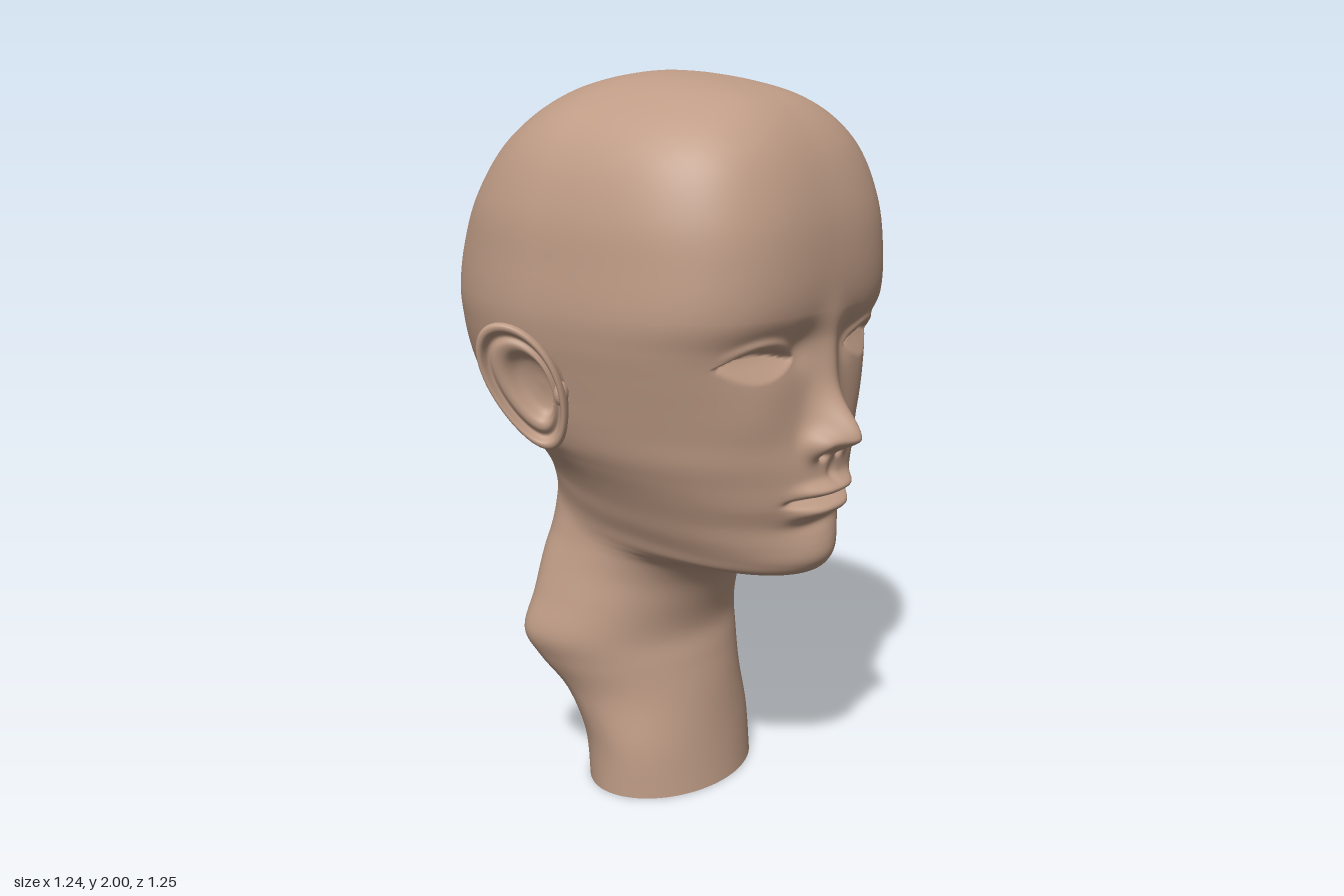
import * as THREE from 'three';

const skin = new THREE.MeshStandardMaterial({ color: 0xbf9c86, side: THREE.DoubleSide });

// Cross-sections: front y, front z, back y, back z, half width, z of widest point,
// squareness of the front half, squareness of the back half
const skull = [
  [2.0, 0, 2.0, 0, 0, 0, 2.2, 2],
  [1.994, 0.1, 1.994, -0.07, 0.08, 0, 2.2, 2],
  [1.975, 0.22, 1.975, -0.17, 0.17, -0.01, 2.4, 2],
  [1.94, 0.34, 1.94, -0.27, 0.26, -0.02, 2.6, 2],
  [1.88, 0.42, 1.88, -0.36, 0.36, -0.03, 2.8, 2],
  [1.79, 0.48, 1.79, -0.46, 0.43, -0.04, 3, 2],
  [1.66, 0.525, 1.66, -0.55, 0.475, -0.05, 3, 2],
  [1.53, 0.54, 1.53, -0.605, 0.49, -0.05, 3, 2],
];
const face = [
  [1.42, 0.535, 1.42, -0.625, 0.497, -0.05, 3, 2],
  [1.34, 0.515, 1.34, -0.62, 0.49, -0.05, 2.9, 2],
  [1.26, 0.505, 1.27, -0.61, 0.475, -0.05, 2.8, 2],
  [1.18, 0.505, 1.21, -0.59, 0.46, -0.04, 2.6, 2],
  [1.1, 0.51, 1.15, -0.55, 0.445, -0.03, 2.4, 2],
  [1.03, 0.515, 1.09, -0.48, 0.425, 0, 2.3, 2],
  [0.97, 0.515, 1.05, -0.42, 0.4, 0.03, 2.2, 2],
  [0.91, 0.515, 1.0, -0.37, 0.37, 0.05, 2.15, 2],
  [0.85, 0.505, 0.96, -0.335, 0.345, 0.05, 2.1, 2.1],
  [0.79, 0.51, 0.925, -0.315, 0.325, 0.03, 2.05, 2.2],
  [0.74, 0.51, 0.895, -0.305, 0.305, 0, 2, 2.3],
  [0.708, 0.485, 0.87, -0.3, 0.295, -0.02, 2, 2.4],
];
const neck = [
  [0.7, 0.42, 0.84, -0.295, 0.29, -0.05, 2, 2.5],
  [0.7, 0.33, 0.8, -0.29, 0.29, -0.08, 2, 2.6],
  [0.685, 0.25, 0.75, -0.29, 0.295, -0.1, 2, 2.8],
  [0.63, 0.19, 0.68, -0.29, 0.31, -0.13, 2, 3.2],
  [0.55, 0.155, 0.57, -0.295, 0.335, -0.15, 2, 3.5],
  [0.46, 0.135, 0.46, -0.31, 0.36, -0.18, 2, 3.5],
  [0.38, 0.15, 0.38, -0.29, 0.335, -0.15, 2, 3],
  [0.28, 0.17, 0.28, -0.24, 0.295, -0.08, 2, 2.5],
  [0.14, 0.19, 0.14, -0.22, 0.28, 0, 2, 2.1],
  [0, 0.21, 0, -0.2, 0.28, 0, 2, 2],
];

// Smooth in-between rows; stepsAt(i) is the count for each gap
function refine(rows, stepsAt) {
  const at = (i) => rows[Math.min(Math.max(i, 0), rows.length - 1)];
  const out = [];
  for (let i = 0; i < rows.length - 1; i++) {
    const n = stepsAt(i);
    for (let s = 0; s < n; s++) {
      const t = s / n;
      out.push(rows[i].map((b, k) => {
        const a = at(i - 1)[k], c = at(i + 1)[k], d = at(i + 2)[k];
        return b + 0.5 * t * (c - a + t * (2 * a - 5 * b + 4 * c - d + t * (3 * (b - c) + d - a)));
      }));
    }
  }
  out.push(rows[rows.length - 1]);
  return out;
}

// Skin closed rings of points into one smooth surface
function loft(rows, cols, point) {
  const pos = [], index = [];
  rows.forEach((row, i) => {
    for (let j = 0; j < cols; j++) {
      pos.push(...point(row, (j / cols) * Math.PI * 2));
      if (i === rows.length - 1) continue;
      const a = i * cols + j, b = i * cols + ((j + 1) % cols);
      index.push(a, b, a + cols, b, b + cols, a + cols);
    }
  });
  const geo = new THREE.BufferGeometry();
  geo.setAttribute('position', new THREE.Float32BufferAttribute(pos, 3));
  geo.setIndex(index);
  geo.computeVertexNormals();
  return geo;
}

const bell = (v, c, r) => Math.exp(-(((v - c) / r) ** 2));
const bump = (x, y, cx, cy, rx, ry) => bell(x, cx, rx) * bell(y, cy, ry);

// Forward relief of the facial features
function relief(x, y) {
  const ax = Math.abs(x);
  let d = 0;
  // nose bridge, tip, wings and nostrils
  d += 0.03 * bump(x, y, 0, 1.25, 0.05, 0.13);
  d += 0.1 * bump(x, y, 0, 1.09, 0.058, y > 1.09 ? 0.09 : 0.038);
  d += 0.035 * bump(ax, y, 0.072, 1.075, 0.03, 0.035);
  d -= 0.025 * bump(ax, y, 0.035, 1.04, 0.018, 0.012);
  // muzzle, lips, mouth line and chin
  const lip = Math.exp(-((x / 0.115) ** 4));
  d += 0.02 * bump(x, y, 0, 0.97, 0.16, 0.1);
  d -= 0.008 * bump(x, y, 0, 0.99, 0.018, 0.025);
  d += lip * (0.034 * bell(y, 0.95, 0.02) + 0.032 * bell(y, 0.893, 0.023));
  d -= 0.045 * bell(y, 0.923, 0.009) * Math.exp(-((x / 0.13) ** 6));
  d -= 0.01 * bump(x, y, 0, 0.85, 0.1, 0.02);
  d += 0.015 * bump(x, y, 0, 0.77, 0.12, 0.05);
  // sockets and cheeks
  d -= 0.02 * bump(ax, y, 0.22, 1.33, 0.13, 0.06);
  d -= 0.015 * bump(ax, y, 0.105, 1.33, 0.045, 0.055);
  d += 0.008 * bump(ax, y, 0.25, 1.15, 0.1, 0.09);
  // almond eye set back beneath the upper lid
  const u = (ax - 0.235) / 0.115;
  if (Math.abs(u) < 1) {
    const arch = 1 - u * u, top = 1.305 + 0.035 * arch, low = 1.3 - 0.045 * arch;
    const v = (y - low) / (top - low);
    if (v > 0 && v < 1) d -= 0.034 * Math.sqrt(arch) * (v < 0.85 ? v / 0.85 : (1 - v) / 0.15);
    d += 0.012 * arch * bell(y, top + 0.014, 0.014);
  }
  return d;
}

function headPoint([yf, zf, yb, zb, w, zc, nf, nb], t) {
  const a = -(t - 0.6 * Math.sin(t)); // columns crowd towards the face
  const s = Math.sin(a), c = Math.cos(a), n = c > 0 ? nf : nb;
  const r = (Math.abs(s) ** n + Math.abs(c) ** n) ** (-1 / n);
  const x = -w * r * s, k = r * c;
  const y = (yf + yb) / 2 + ((yf - yb) / 2) * k;
  const z = zc + k * (c > 0 ? zf - zc : zc - zb);
  const front = THREE.MathUtils.smoothstep(z, 0.15, 0.32);
  return [x, y, z + (front > 0 ? front * relief(x, y) : 0)];
}

// Ear rings: scale of the outline, height off the ear plane, forward shift
const earRings = [
  [0.5, -0.11, -0.03], [0.72, -0.05, -0.02], [0.93, -0.015, 0], [1, 0.004, 0],
  [0.97, 0.02, 0], [0.88, 0.02, 0], [0.79, -0.001, 0], [0.67, 0.008, -0.004],
  [0.55, 0.002, -0.012], [0.42, -0.025, -0.022], [0.2, -0.035, -0.03], [0, -0.036, -0.03],
];

function earPoint([k, n, shift], t) {
  const s = Math.sin(t);
  const p = k * (0.12 * Math.cos(t) * (0.85 + 0.15 * s) + 0.03 * s) - 0.008 + shift;
  const q = k * 0.17 * s;
  return [0.535 + 0.4 * p + 0.92 * n + 0.25 * q, 1.23 + q, -0.05 - 0.92 * p + 0.4 * n];
}

export function createModel() {
  const model = new THREE.Group();
  model.name = 'mannequinHead';
  const add = (name, geo, parent) => {
    const mesh = new THREE.Mesh(geo, skin);
    mesh.name = name;
    parent.add(mesh);
    return mesh;
  };

  // Skull, face and open neck in one skin
  const rows = refine([...skull, ...face, ...neck], (i) => (i >= 8 && i < 19 ? 14 : 6));
  add('headAndNeck', loft(rows, 210, headPoint), model);

  // Ears, mirrored
  const earGeo = loft(refine(earRings, () => 4), 56, earPoint);
  for (const side of [1, -1]) {
    const ear = new THREE.Group();
    ear.name = side > 0 ? 'leftEar' : 'rightEar';
    ear.scale.x = side;
    add('earShell', earGeo, ear);
    const tragus = add('tragus', new THREE.SphereGeometry(1, 16, 12), ear);
    tragus.scale.set(0.022, 0.032, 0.016);
    tragus.position.set(0.487, 1.215, 0.035);
    model.add(ear);
  }
  return model;
}
